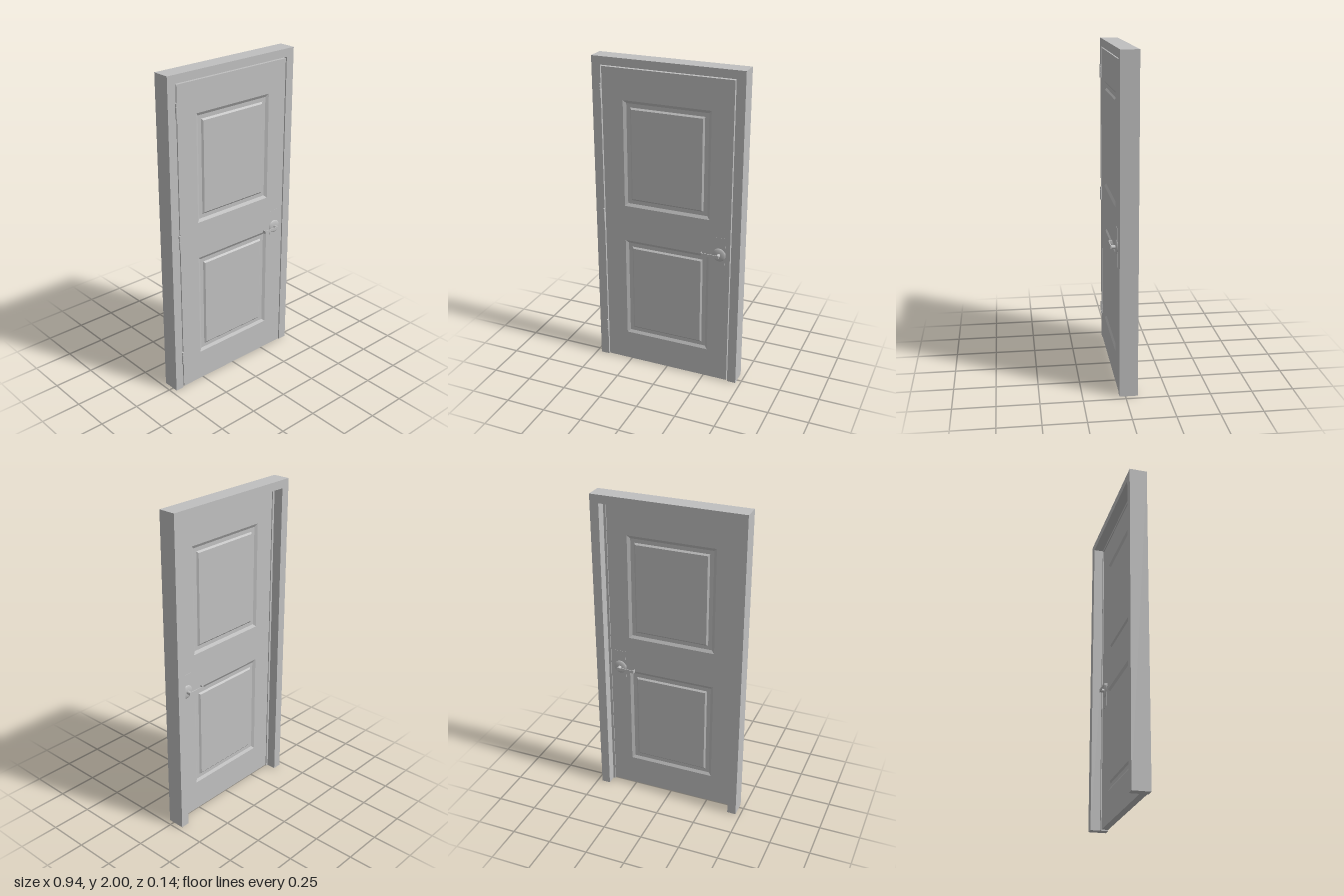
import * as THREE from 'three';

const FRONT = 0.034, BACK = -0.007; // door faces
const HANDLE_X = 0.34, HANDLE_Y = 0.875;

// Upside-down U outline for frame and stop
function portal(outerX, outerTop, innerX, innerTop) {
  return new THREE.Shape([
    [-outerX, 0], [-innerX, 0], [-innerX, innerTop], [innerX, innerTop],
    [innerX, 0], [outerX, 0], [outerX, outerTop], [-outerX, outerTop],
  ].map(([x, y]) => new THREE.Vector2(x, y)));
}

function extrude(shape, z0, z1) {
  const g = new THREE.ExtrudeGeometry(shape, { depth: z1 - z0, bevelEnabled: false, curveSegments: 8 });
  return g.translate(0, 0, z0);
}

function rectPath(Type, x, y0, y1) {
  return new Type([[-x, y0], [x, y0], [x, y1], [-x, y1]].map(([a, b]) => new THREE.Vector2(a, b)));
}

// Moulded panel: nested rectangles joined by flat strips, capped in the middle
function panelGeometry(x, y0, y1) {
  const rings = [[0, 0], [0.018, -0.01], [0.042, -0.01], [0.052, -0.001]].map(([inset, z]) => [
    [-x + inset, y0 + inset, z], [x - inset, y0 + inset, z],
    [x - inset, y1 - inset, z], [-x + inset, y1 - inset, z],
  ]);
  const pos = [];
  const quad = (a, b, c, d) => pos.push(...a, ...b, ...c, ...a, ...c, ...d);
  for (let r = 0; r < rings.length - 1; r++) {
    for (let i = 0; i < 4; i++) {
      const j = (i + 1) % 4;
      quad(rings[r][i], rings[r][j], rings[r + 1][j], rings[r + 1][i]);
    }
  }
  quad(...rings[rings.length - 1]);
  const g = new THREE.BufferGeometry();
  g.setAttribute('position', new THREE.Float32BufferAttribute(pos, 3));
  g.computeVertexNormals();
  return g;
}

export function createModel() {
  const model = new THREE.Group();
  model.name = 'door';
  const paint = new THREE.MeshStandardMaterial({ color: 0xc0c0c0 });
  paint.name = 'light grey';

  const add = (parent, name, geometry) => {
    const m = new THREE.Mesh(geometry, paint);
    m.name = name;
    parent.add(m);
    return m;
  };

  // Frame with a shallow stop behind the door
  add(model, 'frame', extrude(portal(0.47, 2, 0.415, 1.95), -0.073, 0.035));
  add(model, 'doorStop', extrude(portal(0.416, 1.951, 0.4, 1.935), -0.014, BACK - 0.001));

  // Door leaf with two openings filled by moulded panels on both faces
  const panels = [[0.2, 0.86], [1.09, 1.755]];
  const leaf = rectPath(THREE.Shape, 0.408, 0.006, 1.943);
  panels.forEach(([y0, y1]) => leaf.holes.push(rectPath(THREE.Path, 0.275, y0, y1)));
  add(model, 'doorLeaf', extrude(leaf, BACK, FRONT));
  panels.forEach(([y0, y1]) => {
    const g = panelGeometry(0.275, y0, y1);
    add(model, 'frontPanel', g).position.z = FRONT;
    const back = add(model, 'backPanel', g);
    back.position.z = BACK;
    back.rotation.y = Math.PI;
  });

  // Lever handle; built facing +z, lever pointing along side * x
  const handle = (name, side) => {
    const group = new THREE.Group();
    group.name = name;
    add(group, 'lockPlate', new THREE.BoxGeometry(0.075, 0.225, 0.002));
    const rose = [[0.042, 0], [0.041, 0.003], [0.034, 0.007], [0.018, 0.01], [0, 0.01]];
    add(group, 'rose', new THREE.LatheGeometry(rose.map(([r, y]) => new THREE.Vector2(r, y)), 32)
      .rotateX(Math.PI / 2));
    add(group, 'neck', new THREE.CylinderGeometry(0.011, 0.011, 0.03, 20)
      .rotateX(Math.PI / 2).translate(0, 0, 0.021));
    // Hooked lever outline in plan, extruded to its height
    const s = new THREE.Shape();
    s.moveTo(0.011, 0.037);
    s.lineTo(-0.1, 0.037);
    s.quadraticCurveTo(-0.106, 0.037, -0.106, 0.031);
    s.lineTo(-0.106, 0.014);
    s.lineTo(-0.102, 0.014);
    s.lineTo(-0.102, 0.03);
    s.quadraticCurveTo(-0.102, 0.033, -0.098, 0.033);
    s.lineTo(0.011, 0.032);
    s.closePath();
    const lever = extrude(s, -0.009, 0.009).rotateX(Math.PI / 2);
    if (side > 0) lever.rotateZ(Math.PI);
    add(group, 'lever', lever);
    model.add(group);
    return group;
  };
  handle('frontHandle', -1).position.set(HANDLE_X, HANDLE_Y, FRONT);
  const inner = handle('backHandle', 1);
  inner.position.set(HANDLE_X, HANDLE_Y, BACK);
  inner.rotation.y = Math.PI;

  // Three hinges, each of stacked knuckles on a leaf in the gap
  [0.218, 1.008, 1.798].forEach((y) => {
    const hinge = new THREE.Group();
    hinge.name = 'hinge';
    hinge.position.set(-0.416, y, 0.039);
    for (let i = -2; i <= 2; i++) {
      add(hinge, 'knuckle', new THREE.CylinderGeometry(0.006, 0.006, 0.0165, 16)).position.y = i * 0.0172;
    }
    add(hinge, 'hingeLeaf', new THREE.BoxGeometry(0.003, 0.086, 0.04)).position.set(0.003, 0, -0.02);
    model.add(hinge);
  });

  return model;
}
